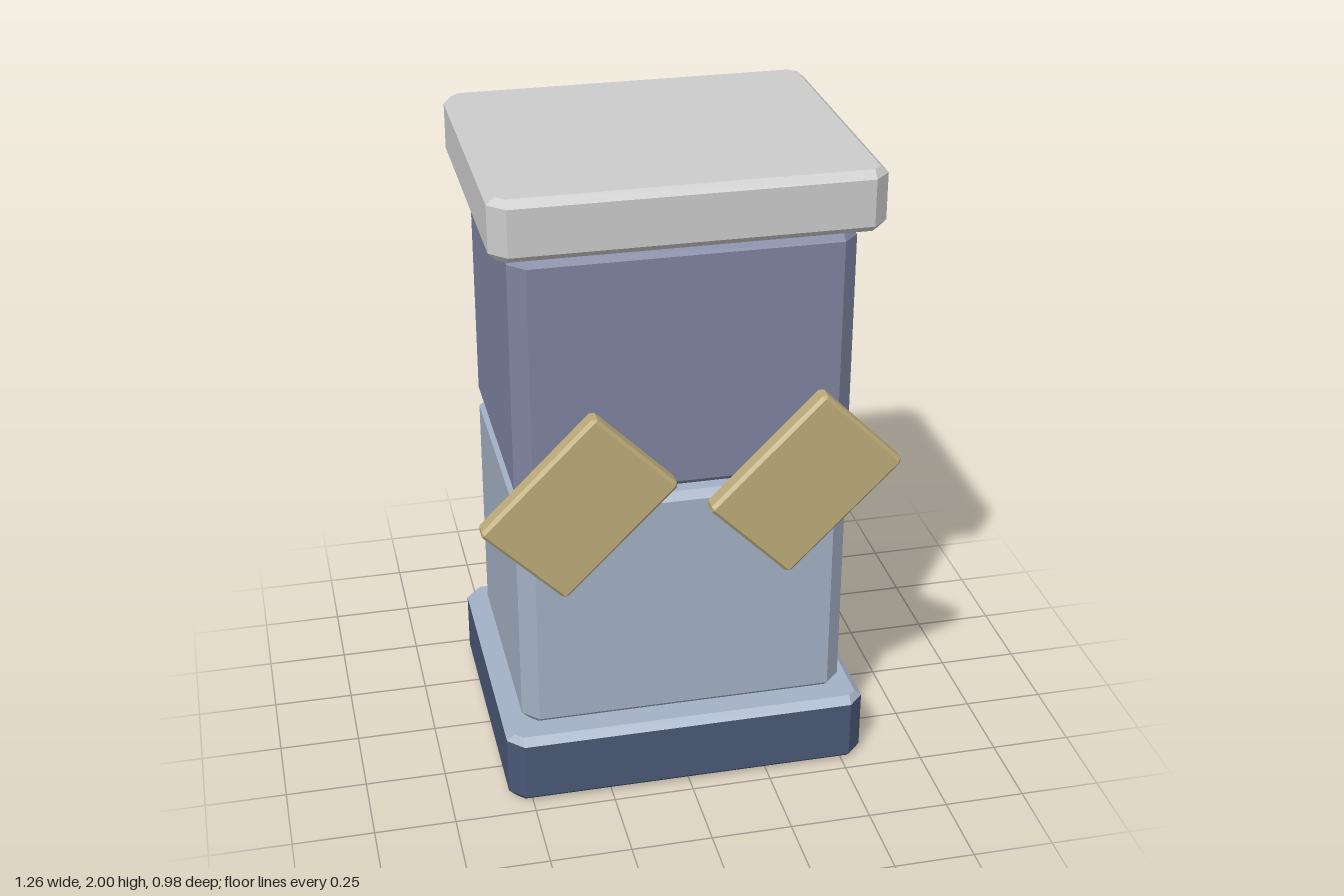
import * as THREE from 'three';

const material = (color) => new THREE.MeshStandardMaterial({ color, flatShading: true });

// Octagon: a w x d rectangle with cut corners, pulled in by "inset", at height y.
function ring(w, d, cut, inset, y) {
  const a = w / 2 - inset, b = d / 2 - inset;
  const c = cut - inset;
  return [
    [a, b - c], [a - c, b], [-a + c, b], [-a, b - c],
    [-a, -b + c], [-a + c, -b], [a - c, -b], [a, -b + c],
  ].map(([x, z]) => new THREE.Vector3(x, y, z));
}

// Joins rings from bottom to top, with optional end faces.
function loft(rings, capBottom = true, capTop = true) {
  const pos = [];
  const tri = (...pts) => pts.forEach((p) => pos.push(p.x, p.y, p.z));
  for (let r = 0; r < rings.length - 1; r++) {
    const lo = rings[r], hi = rings[r + 1];
    for (let i = 0; i < 8; i++) {
      const j = (i + 1) % 8;
      tri(lo[i], hi[i], hi[j]);
      tri(lo[i], hi[j], lo[j]);
    }
  }
  const bottom = rings[0], top = rings[rings.length - 1];
  for (let i = 1; i < 7; i++) {
    if (capBottom) tri(bottom[0], bottom[i], bottom[i + 1]);
    if (capTop) tri(top[0], top[i + 1], top[i]);
  }
  const g = new THREE.BufferGeometry();
  g.setAttribute('position', new THREE.Float32BufferAttribute(pos, 3));
  g.computeVertexNormals();
  return g;
}

// Box with all edges chamfered, standing from y0 to y1.
function chamferBox(w, d, y0, y1, cut, inset, rise) {
  return loft([
    ring(w, d, cut, inset, y0),
    ring(w, d, cut, 0, y0 + rise),
    ring(w, d, cut, 0, y1 - rise),
    ring(w, d, cut, inset, y1),
  ]);
}

export function createModel() {
  const group = new THREE.Group();
  const add = (name, geometry, mat, x, y, z) => {
    const mesh = new THREE.Mesh(geometry, mat);
    mesh.name = name;
    mesh.position.set(x, y, z);
    group.add(mesh);
    return mesh;
  };

  const slate = material(0xa3b0c4);
  const dusk = material(0x7e84a0);
  const navy = material(0x4a5876);
  const tan = material(0xbdab79);
  const grey = material(0xcccccc);

  const W = 1.14, D = 0.947; // plinth and cap footprint
  const BW = 1.02, BD = 0.8; // block footprint
  const CUT = 0.048, INSET = 0.024, RISE = 0.022;
  const Z = -0.016; // column sits slightly back, balancing the plates

  // Plinth: dark sides with a pale top and upper chamfer
  add('plinth', loft([
    ring(W, D, CUT, INSET, 0),
    ring(W, D, CUT, 0, RISE),
    ring(W, D, CUT, 0, 0.21),
  ], true, false), navy, 0, 0, Z);
  add('plinthTop', loft([
    ring(W, D, CUT, 0, 0.21),
    ring(W, D, CUT, INSET, 0.232),
  ], false, true), slate, 0, 0, Z);

  // Two stacked blocks and the cap
  add('lowerBlock', chamferBox(BW, BD, 0.235, 1.0, CUT, INSET, RISE), slate, 0, 0, Z);
  add('upperBlock', chamferBox(BW, BD, 1.024, 1.789, CUT, INSET, RISE), dusk, 0, 0, Z);
  add('cap', chamferBox(W, D, 1.815, 2.0, CUT, INSET, RISE), grey, 0, 0, Z);

  // Tilted plates floating in front, both leaning the same way
  const plate = chamferBox(0.487, 0.352, -0.0315, 0.0315, 0.012, 0.01, 0.01);
  plate.rotateX(Math.PI / 2).rotateZ(Math.PI / 4);
  for (const [name, x] of [['leftPlate', 0.341], ['rightPlate', -0.341]]) {
    add(name, plate, tan, x, 1.042, 0.459);
  }

  return group;
}
